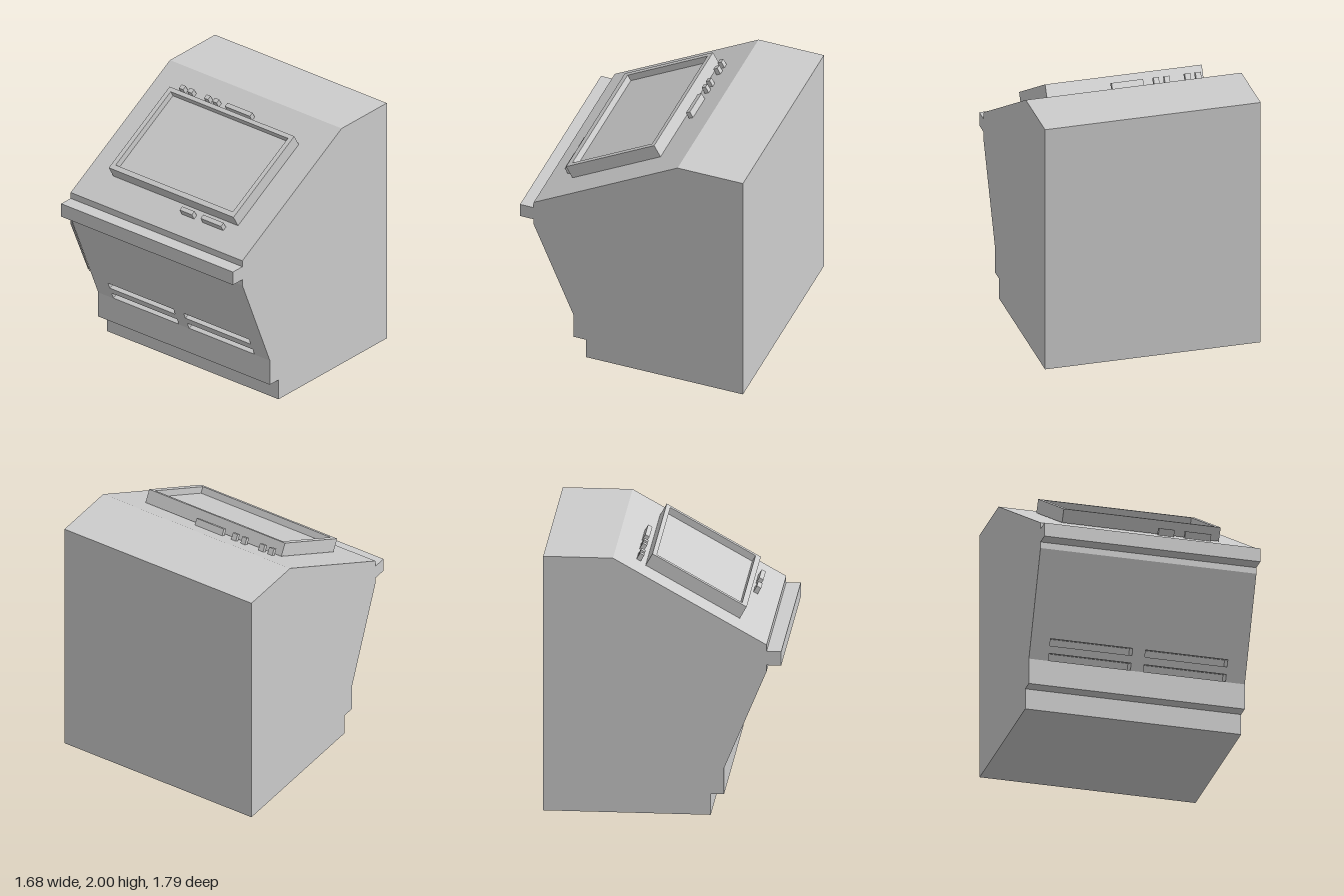
import * as THREE from 'three';

const grey = new THREE.MeshStandardMaterial({ color: 0xcccccc });
grey.name = 'light grey';
const dark = new THREE.MeshStandardMaterial({ color: 0x666666 });
dark.name = 'dark grey';

const W = 0.84; // half width

// Side profile as [z, y], going up the front and down the back
const PROFILE = [
  [0.37, 0], [0.37, 0.165], [0.47, 0.165], [0.47, 0.37], [0.79, 1.14], [0.79, 1.19], [0.9, 1.19],
  [0.9, 1.3], [0.79, 1.3], [0.79, 1.35], [-0.365, 2], [-0.89, 2], [-0.89, 0],
];
const PANEL = 3; // profile edge holding the vented panel
const SLOPE = 9; // profile edge holding the display

function addMesh(parent, name, geometry, material = grey) {
  const mesh = new THREE.Mesh(geometry, material);
  mesh.name = name;
  parent.add(mesh);
  return mesh;
}

// Flat four-cornered faces, corners counter-clockwise from outside
function quads(list) {
  const pos = list.flatMap(([a, b, c, d]) => [a, b, c, a, c, d]).flat();
  const g = new THREE.BufferGeometry();
  g.setAttribute('position', new THREE.Float32BufferAttribute(pos, 3));
  g.computeVertexNormals();
  return g;
}

const rect = (x0, x1, y0, y1) => [[x0, y0], [x1, y0], [x1, y1], [x0, y1]];
const toPath = (pts, Type = THREE.Shape) => new Type(pts.map(([x, y]) => new THREE.Vector2(x, y)));

// Group lying on a profile edge: local y runs up the edge, local z points outward
function edgeGroup(parent, name, i) {
  const [z0, y0] = PROFILE[i], [z1, y1] = PROFILE[i + 1];
  const group = new THREE.Group();
  group.name = name;
  group.position.set(0, y0, z0);
  group.rotation.x = Math.atan2(z1 - z0, y1 - y0);
  parent.add(group);
  return { group, length: Math.hypot(z1 - z0, y1 - y0) };
}

export function createModel() {
  const model = new THREE.Group();
  model.name = 'console';

  // Cabinet walls, leaving the vented panel open
  const walls = [];
  PROFILE.forEach(([z0, y0], i) => {
    if (i === PANEL) return;
    const [z1, y1] = PROFILE[(i + 1) % PROFILE.length];
    walls.push([[-W, y0, z0], [W, y0, z0], [W, y1, z1], [-W, y1, z1]]);
  });
  addMesh(model, 'cabinetWalls', quads(walls));

  // Cabinet sides
  for (const s of [1, -1]) {
    const side = new THREE.ShapeGeometry(toPath(PROFILE.map(([z, y]) => [-s * z, y])));
    side.rotateY(s * Math.PI / 2).translate(s * W, 0, 0);
    addMesh(model, s > 0 ? 'leftSide' : 'rightSide', side);
  }

  // Lower front panel with four recessed vents
  const lower = edgeGroup(model, 'lowerPanel', PANEL);
  const face = toPath(rect(-W, W, 0, lower.length));
  const vents = [];
  for (const x of [-0.69, 0.05]) {
    for (const y of [0.003, 0.114]) {
      const r = rect(x, x + 0.64, y, y + 0.054);
      face.holes.push(toPath(r, THREE.Path));
      const front = r.map(([a, b]) => [a, b, 0]);
      const back = r.map(([a, b]) => [a, b, -0.1]);
      for (let i = 0; i < 4; i++) {
        const j = (i + 1) % 4;
        vents.push([front[i], front[j], back[j], back[i]]);
      }
      vents.push(back);
    }
  }
  addMesh(lower.group, 'panelFace', new THREE.ShapeGeometry(face));
  addMesh(lower.group, 'vents', quads(vents));

  // Thin lip along one edge of the panel
  addMesh(model, 'panelLip', quads([
    [[-W, 0.58, 0.56], [-W, 1.14, 0.79], [-W, 1.08, 0.79], [-W, 0.62, 0.59]],
  ]), dark);

  // Display frame and recessed screen on the sloped top
  const { group: display } = edgeGroup(model, 'display', SLOPE);
  const frame = toPath(rect(-0.61, 0.61, 0.256, 1.068));
  frame.holes.push(toPath(rect(-0.573, 0.573, 0.298, 1.033), THREE.Path));
  addMesh(display, 'displayFrame', new THREE.ExtrudeGeometry(frame, { depth: 0.105, bevelEnabled: false }))
    .position.z = 0.003;
  addMesh(display, 'screen', new THREE.PlaneGeometry(1.146, 0.735)).position.set(0, 0.6655, 0.056);

  // Buttons as [x start, x end, distance up the slope]
  const buttons = [
    [0.12, 0.24, 0.192], [0.325, 0.525, 0.192],
    [-0.575, -0.533, 1.13], [-0.493, -0.45, 1.13], [-0.33, -0.29, 1.13], [-0.248, -0.206, 1.13],
    [-0.125, 0.12, 1.13],
  ];
  for (const [x0, x1, y] of buttons) {
    addMesh(display, 'button', new THREE.BoxGeometry(x1 - x0, 0.036, 0.053))
      .position.set((x0 + x1) / 2, y, 0.0265);
  }

  return model;
}
